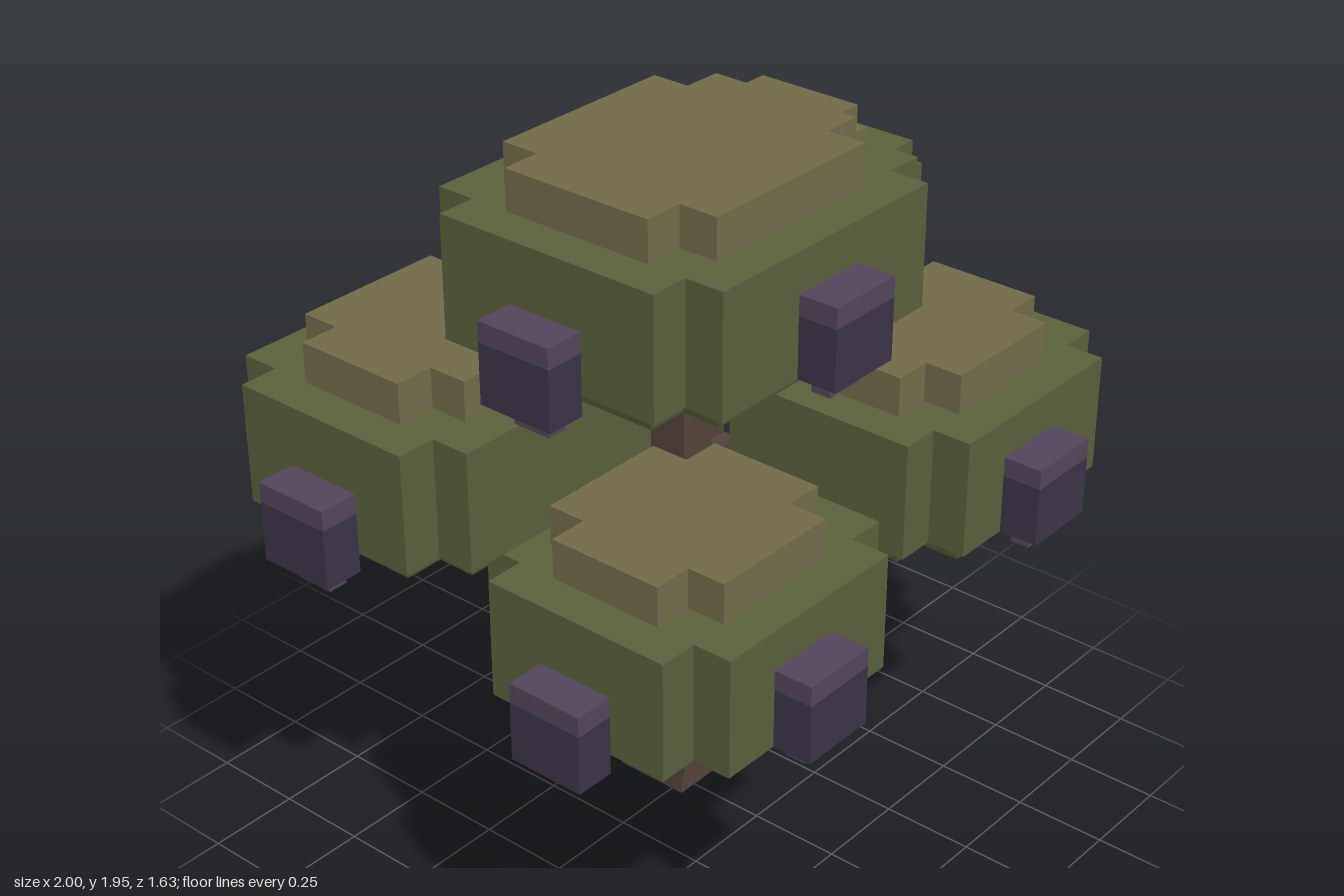
import * as THREE from 'three';

// Everything sits on a cubic grid: 38 cells wide, 31 deep
const U = 1 / 19;
const CX = 19, CZ = 15.5;
const mat = (color) => new THREE.MeshStandardMaterial({ color, flatShading: true });

const leaf = mat(0x5a5f3c), leafDark = mat(0x4c5134), leafTop = mat(0x716a48);
const bark = mat(0x54423a), fruitSkin = mat(0x3d3347), fruitTrim = mat(0x54455a);

// Box between two grid corners
function block(name, material, [x0, y0, z0], [x1, y1, z1]) {
  const geo = new THREE.BoxGeometry((x1 - x0) * U, (y1 - y0) * U, (z1 - z0) * U);
  const mesh = new THREE.Mesh(geo, material);
  mesh.position.set(((x0 + x1) / 2 - CX) * U, ((y0 + y1) / 2) * U, ((z0 + z1) / 2 - CZ) * U);
  mesh.name = name;
  return mesh;
}

// Slab with square notches cut from its four corners
function notchedSlab(name, material, crown, inset, y0, y1) {
  const w = ((crown.x1 - crown.x0) / 2 - inset) * U;
  const d = ((crown.z1 - crown.z0) / 2 - inset) * U;
  const n = 2 * U;
  const points = [
    [w, -d + n], [w, d - n], [w - n, d - n], [w - n, d], [-w + n, d], [-w + n, d - n],
    [-w, d - n], [-w, -d + n], [-w + n, -d + n], [-w + n, -d], [w - n, -d], [w - n, -d + n],
  ].map(([x, y]) => new THREE.Vector2(x, y));
  const geo = new THREE.ExtrudeGeometry(new THREE.Shape(points), { depth: (y1 - y0) * U, bevelEnabled: false });
  geo.rotateX(-Math.PI / 2);
  const mesh = new THREE.Mesh(geo, material);
  mesh.position.set(((crown.x0 + crown.x1) / 2 - CX) * U, y0 * U, ((crown.z0 + crown.z1) / 2 - CZ) * U);
  mesh.name = name;
  return mesh;
}

// Fruit hanging on one face of a crown: lid, body and a small tip below
function fruit(crown, side) {
  const group = new THREE.Group();
  group.name = side + 'Fruit';
  const alongX = side === 'front' || side === 'back';
  const sign = side === 'front' || side === 'left' ? 1 : -1;
  const face = { front: crown.z1, back: crown.z0, left: crown.x1, right: crown.x0 }[side];
  const mid = Math.floor(alongX ? (crown.x0 + crown.x1) / 2 : (crown.z0 + crown.z1) / 2);
  const y = crown.y + (alongX ? 1 : 0);
  const piece = (name, material, half, depth, y0, y1) => {
    const a = Math.min(face, face + sign * depth), b = a + depth;
    group.add(alongX
      ? block(name, material, [mid - half, y0, a], [mid + half, y1, b])
      : block(name, material, [a, y0, mid - half], [b, y1, mid + half]));
  };
  piece('fruitLid', fruitTrim, 2, 2, y + 3, y + 4);
  piece('fruitBody', fruitSkin, 2, 2, y, y + 3);
  piece('fruitTip', fruitTrim, 1, 1, y - 1, y);
  return group;
}

// Stepped branch climbing from the shared base into the middle of a crown
function branch(crown) {
  const group = new THREE.Group();
  group.name = 'branch';
  const tx = Math.floor((crown.x0 + crown.x1) / 2), tz = (crown.z0 + crown.z1) / 2;
  const top = crown.y + 4;
  const at = (y) => [Math.round(19 + (tx - 19) * y / top), Math.round(15 + (tz - 15) * y / top)];
  let start = 1;
  for (let y = 1; y <= top; y++) {
    const [x, z] = at(y), [nx, nz] = at(y + 1);
    if (y < top && nx === x && nz === z) continue;
    group.add(block('branchStep', bark, [x - 1, start - 1, z - 1], [x + 1, y + 1, z + 1]));
    start = y + 1;
  }
  return group;
}

export function createModel() {
  const model = new THREE.Group();
  model.name = 'tree';
  // Grid extents and base height of each leaf crown, with its fruit sides
  const crowns = [
    { name: 'topCrown', x0: 7, x1: 25, z0: 10, z1: 26, y: 28, fruits: ['front', 'right'] },
    { name: 'backLeftCrown', x0: 19, x1: 36, z0: 4, z1: 18, y: 23, fruits: ['back', 'left'] },
    { name: 'backRightCrown', x0: 2, x1: 18, z0: 2, z1: 16, y: 19, fruits: ['back', 'right'] },
    { name: 'frontRightCrown', x0: 4, x1: 19, z0: 15, z1: 29, y: 13, fruits: ['front', 'right'] },
    { name: 'frontLeftCrown', x0: 21, x1: 36, z0: 15, z1: 29, y: 16, fruits: ['front', 'left'] },
  ];
  for (const c of crowns) {
    const group = new THREE.Group();
    group.name = c.name;
    group.add(
      notchedSlab('crownUnderside', leafDark, c, 1, c.y, c.y + 1),
      notchedSlab('crownBody', leaf, c, 0, c.y + 1, c.y + 7),
      notchedSlab('crownCap', leafTop, c, 2, c.y + 7, c.y + 9),
      ...c.fruits.map((side) => fruit(c, side)),
    );
    model.add(group, branch(c));
  }
  return model;
}
